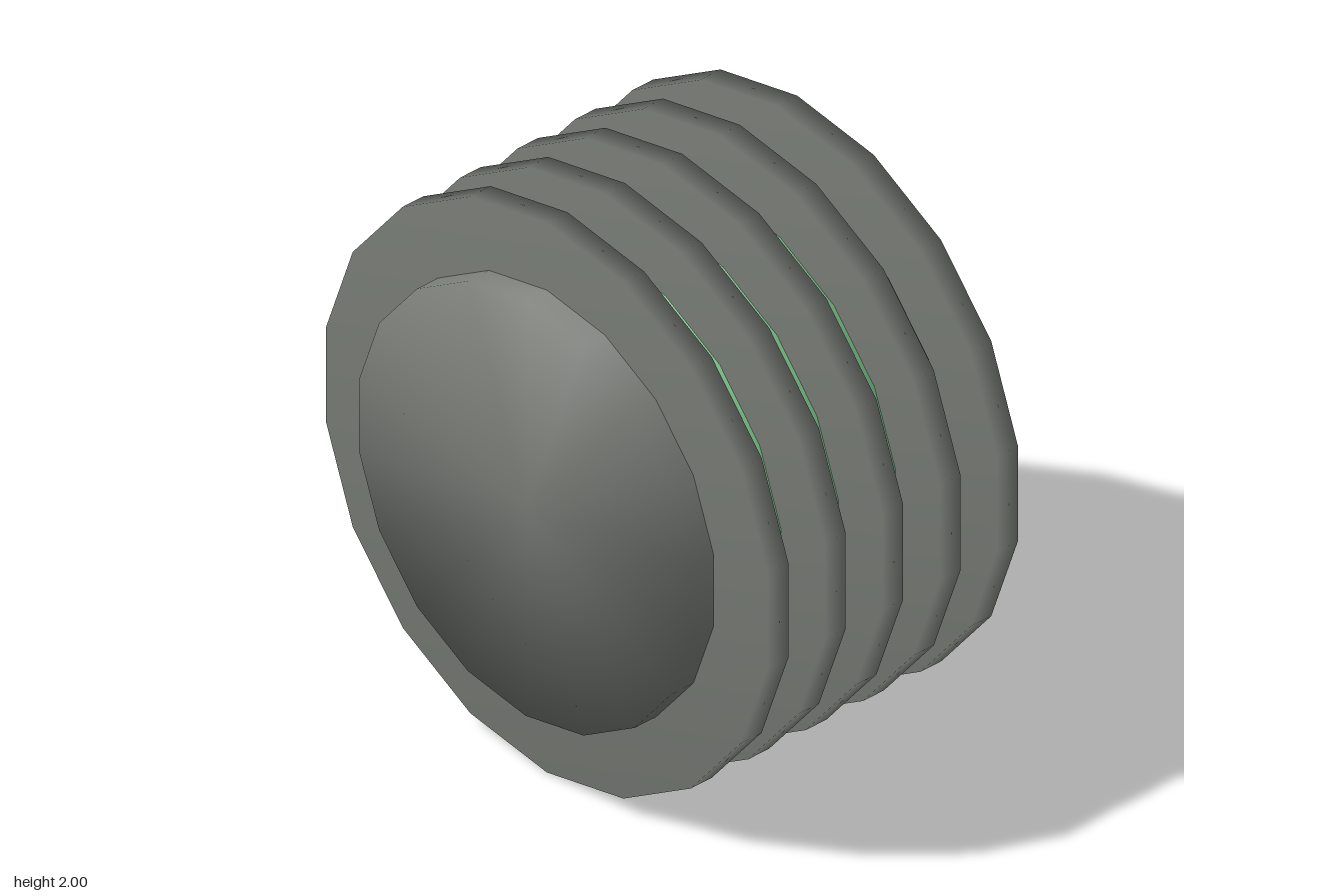
import * as THREE from 'three';
import { mergeVertices } from 'three/addons/utils/BufferGeometryUtils.js';

const SIDES = 18;

// Solid 18-sided drum along z, with normals blended over its rims
function drum(name, radius, zFront, zBack, material) {
  let geo = new THREE.CylinderGeometry(radius, radius, zFront - zBack, SIDES);
  geo.deleteAttribute('uv');
  geo.deleteAttribute('normal');
  geo = mergeVertices(geo, 1e-4);
  geo.rotateX(Math.PI / 2);
  geo.computeVertexNormals();
  const mesh = new THREE.Mesh(geo, material);
  mesh.name = name;
  mesh.position.set(0, 1, (zFront + zBack) / 2);
  return mesh;
}

export function createModel() {
  const metal = new THREE.MeshStandardMaterial({ color: 0x767a74 });
  metal.name = 'grey metal';
  const green = new THREE.MeshStandardMaterial({ color: 0x7fcb8f });
  green.name = 'light green';

  const model = new THREE.Group();
  model.name = 'finnedDrum';

  // Core runs the full length and forms both end caps
  model.add(drum('core', 0.755, 0.61, -0.61, metal));

  // Green body between the outer fins
  model.add(drum('body', 0.8, 0.445, -0.445, green));

  // Five evenly spaced fins
  for (let i = 0; i < 5; i++) {
    const z = 0.476 - i * 0.2445;
    model.add(drum('fin' + (i + 1), 1, z + 0.044, z - 0.044, metal));
  }
  return model;
}
